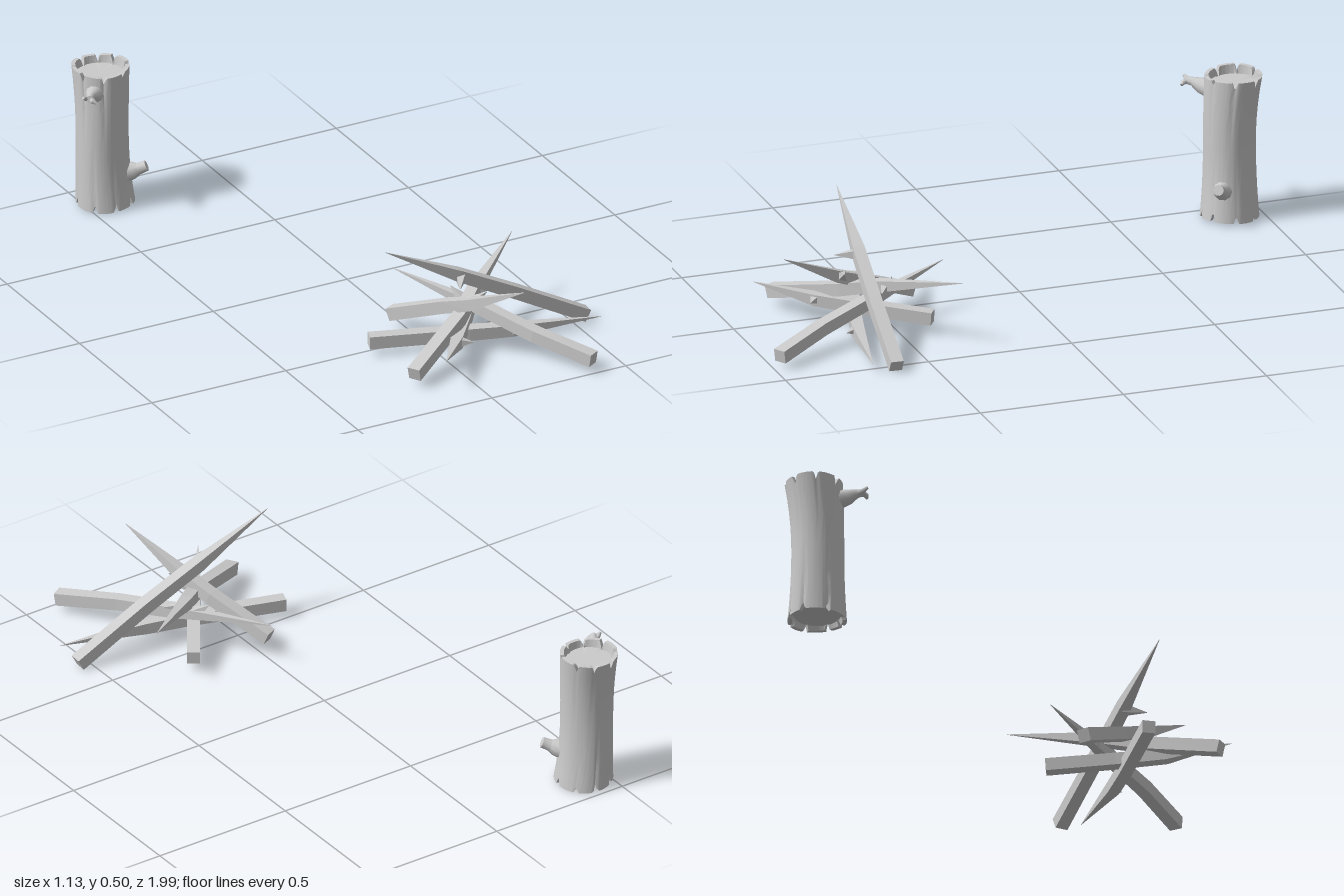
import * as THREE from 'three';
import { toCreasedNormals } from 'three/addons/utils/BufferGeometryUtils.js';

const V = (p) => new THREE.Vector3(...p);
const flat = new THREE.MeshStandardMaterial({ color: 0xcccccc, flatShading: true });
const smooth = new THREE.MeshStandardMaterial({ color: 0xcccccc });

// Join rings of equal length into a skin, with fans closing both ends
function loft(rings) {
  const n = rings[0].length, pos = [], idx = [];
  rings.forEach((r) => r.forEach((p) => pos.push(p.x, p.y, p.z)));
  for (let k = 0; k < rings.length - 1; k++)
    for (let i = 0; i < n; i++) {
      const a = k * n + i, b = k * n + (i + 1) % n;
      idx.push(a, a + n, b, b, a + n, b + n);
    }
  [0, rings.length - 1].forEach((k) => {
    const c = rings[k].reduce((s, p) => s.add(p), new THREE.Vector3()).divideScalar(n);
    const m = pos.length / 3;
    pos.push(c.x, c.y, c.z);
    for (let i = 0; i < n; i++) {
      const a = k * n + i, b = k * n + (i + 1) % n;
      if (k === 0) idx.push(m, a, b); else idx.push(m, b, a);
    }
  });
  const g = new THREE.BufferGeometry();
  g.setAttribute('position', new THREE.Float32BufferAttribute(pos, 3));
  g.setIndex(idx);
  return g;
}

// Sweep a round or square section along points, with a radius at each point
function sweep(points, radii, sides, turn = 0) {
  const pts = points.map(V);
  return loft(pts.map((p, k) => {
    const t = pts[Math.min(k + 1, pts.length - 1)].clone().sub(pts[Math.max(k - 1, 0)]).normalize();
    const u = new THREE.Vector3(0, 1, 0).cross(t).normalize();
    const w = t.clone().cross(u);
    return Array.from({ length: sides }, (_, i) => {
      const a = -turn - (i / sides) * Math.PI * 2;
      return p.clone().addScaledVector(u, Math.cos(a) * radii[k]).addScaledVector(w, Math.sin(a) * radii[k]);
    });
  }));
}

function add(group, name, geometry, material) {
  const m = new THREE.Mesh(geometry, material);
  m.name = name;
  group.add(m);
}

// Square stick with a bend, a sharpened tip and one broken twig
function stick(points, nubFrom, nubTo) {
  const g = new THREE.Group();
  g.name = 'stick';
  add(g, 'shaft', sweep(points, [0.031, 0.03, 0.028, 0.0008], 4, Math.PI / 4), flat);
  add(g, 'twigStub', sweep([nubFrom, nubTo], [0.024, 0.0008], 4, Math.PI / 4), flat);
  return g;
}

// Notches around the bark rim: [angle, half width, depth]
const topNotches = [[0.3, 0.1, 0.03], [1.15, 0.07, 0.022], [1.95, 0.09, 0.025], [2.75, 0.1, 0.03],
  [3.6, 0.08, 0.025], [4.4, 0.1, 0.035], [5.1, 0.08, 0.025], [5.75, 0.09, 0.03]];
const bottomNotches = [[0.1, 0.09, 0.03], [0.95, 0.1, 0.035], [1.65, 0.08, 0.03], [2.4, 0.1, 0.03],
  [3.3, 0.09, 0.035], [4.2, 0.1, 0.03], [4.9, 0.09, 0.035], [5.6, 0.08, 0.025]];
const notch = (list, a) => list.reduce((s, [c, w, d]) => {
  const off = Math.abs(Math.atan2(Math.sin(a - c), Math.cos(a - c)));
  return Math.max(s, d * Math.max(0, 1 - off / w));
}, 0);

function logGeometry() {
  const N = 96, bottom = 0.012, top = 0.5;
  // Centre and radius at bottom, middle and top
  const keys = [[-0.425, -0.887, 0.098], [-0.434, -0.891, 0.087], [-0.432, -0.905, 0.096]];
  const at = (t, j) => {
    const s = t * 2, k = s < 1 ? 0 : 1, f = s - k;
    const e = k ? f * f : 1 - (1 - f) * (1 - f);
    return keys[k][j] + (keys[k + 1][j] - keys[k][j]) * e;
  };
  const ring = (t, scale, height) => Array.from({ length: N }, (_, i) => {
    const a = (i / N) * Math.PI * 2;
    const dTop = notch(topNotches, a), dBot = notch(bottomNotches, a);
    // Shallow grooves run on from the notches
    const groove = 0.2 * (dTop * Math.max(0, 2 * t - 1) + dBot * Math.max(0, 1 - 2 * t));
    const r = at(t, 2) * scale * (1 + 0.015 * Math.sin(a * 3 + t * 2)) - groove;
    const lo = bottom + dBot + 0.004 * Math.sin(a * 2), hi = top - dTop + 0.003 * Math.sin(a * 2 + 1);
    const y = height ?? lo + (hi - lo) * t;
    return new THREE.Vector3(at(t, 0) + r * Math.cos(a), y, at(t, 1) + r * Math.sin(a));
  });
  const rings = [ring(0, 0.8, 0.03), ring(0, 0.85)];
  for (let k = 0; k <= 10; k++) rings.push(ring(k / 10, 1));
  rings.push(ring(1, 0.86), ring(1, 0.81, 0.472));
  return toCreasedNormals(loft(rings), 0.7);
}

export function createModel() {
  const model = new THREE.Group();

  // Standing log with hollowed ends and ragged bark
  const log = new THREE.Group();
  log.name = 'log';
  add(log, 'trunk', logGeometry(), smooth);
  const branch = (name, pts, radii) =>
    add(log, name, toCreasedNormals(sweep(pts, radii, 10), 0.7), smooth);
  branch('upperBranch', [[-0.48, 0.435, -0.85], [-0.508, 0.446, -0.815], [-0.527, 0.455, -0.795], [-0.543, 0.459, -0.772]],
    [0.034, 0.026, 0.015, 0.012]);
  branch('upperTwigA', [[-0.525, 0.453, -0.798], [-0.55, 0.458, -0.785], [-0.565, 0.466, -0.778]], [0.011, 0.009, 0.005]);
  branch('upperTwigB', [[-0.535, 0.457, -0.782], [-0.535, 0.452, -0.765], [-0.527, 0.446, -0.757]], [0.011, 0.009, 0.005]);
  branch('lowerBranch', [[-0.375, 0.118, -0.85], [-0.348, 0.128, -0.832], [-0.335, 0.134, -0.822], [-0.312, 0.146, -0.808]],
    [0.036, 0.029, 0.02, 0.018]);
  model.add(log);

  // Heap of sharpened sticks: butt, two bends, tip, then the twig stub
  const pile = new THREE.Group();
  pile.name = 'stickPile';
  [
    [[[0.55, 0.027, 0.63], [0.29, 0.165, 0.615], [0.09, 0.265, 0.598], [-0.17, 0.397, 0.578]],
      [0.1, 0.257, 0.6], [0.06, 0.247, 0.67]],
    [[[0.39, 0.05, 0.98], [0.275, 0.085, 0.79], [0.18, 0.12, 0.59], [0.02, 0.165, 0.275]],
      [0.145, 0.13, 0.53], [0.12, 0.17, 0.49]],
    [[[-0.185, 0.053, 0.805], [0.07, 0.13, 0.645], [0.17, 0.165, 0.555], [0.425, 0.237, 0.352]],
      [0.18, 0.165, 0.535], [0.25, 0.165, 0.572]],
    [[[-0.2, 0.056, 0.52], [0.12, 0.055, 0.622], [0.26, 0.052, 0.66], [0.56, 0.052, 0.717]],
      [0.25, 0.052, 0.655], [0.29, 0.06, 0.71]],
    [[[-0.035, 0.055, 0.37], [0.06, 0.145, 0.57], [0.1, 0.19, 0.68], [0.18, 0.303, 0.89]],
      [0.1, 0.185, 0.66], [0.16, 0.215, 0.67]],
    [[[0.25, 0.06, 0.395], [0.12, 0.075, 0.585], [0.02, 0.085, 0.72], [-0.11, 0.12, 0.89]],
      [0.02, 0.087, 0.72], [0.065, 0.09, 0.755]],
  ].forEach((s) => pile.add(stick(...s)));
  model.add(pile);
  return model;
}
